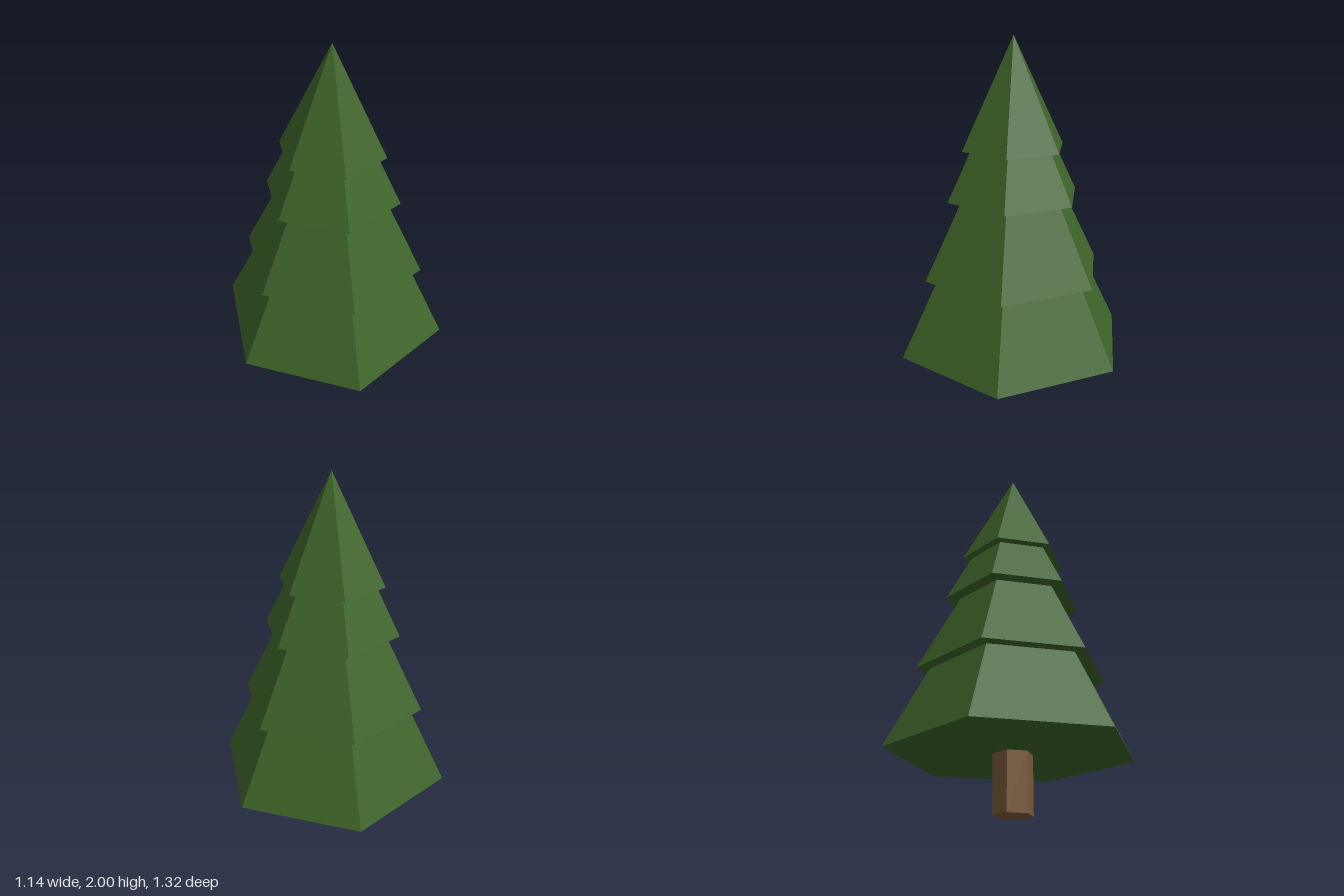
import * as THREE from 'three';

const SIDES = 6;

export function createModel() {
  const tree = new THREE.Group();
  tree.name = 'pineTree';

  const needles = new THREE.MeshStandardMaterial({ color: 0x3d6428, flatShading: true });
  const bark = new THREE.MeshStandardMaterial({ color: 0x7a5835, flatShading: true });

  const add = (name, geometry, material, bottom, height) => {
    const mesh = new THREE.Mesh(geometry, material);
    mesh.name = name;
    mesh.position.y = bottom + height / 2;
    tree.add(mesh);
  };

  // Hexagonal trunk, ending just inside the lowest branches
  add('trunk', new THREE.CylinderGeometry(0.105, 0.105, 0.32, SIDES), bark, 0, 0.32);

  // Nested six-sided cones: base height, corner radius, cone height
  const tiers = [
    ['lowestBranches', 0.305, 0.66, 1.31],
    ['lowerBranches', 0.735, 0.513, 1.015],
    ['upperBranches', 1.16, 0.375, 0.745],
    ['treetop', 1.425, 0.29, 0.575],
  ];
  for (const [name, bottom, radius, height] of tiers) {
    add(name, new THREE.ConeGeometry(radius, height, SIDES), needles, bottom, height);
  }

  return tree;
}
